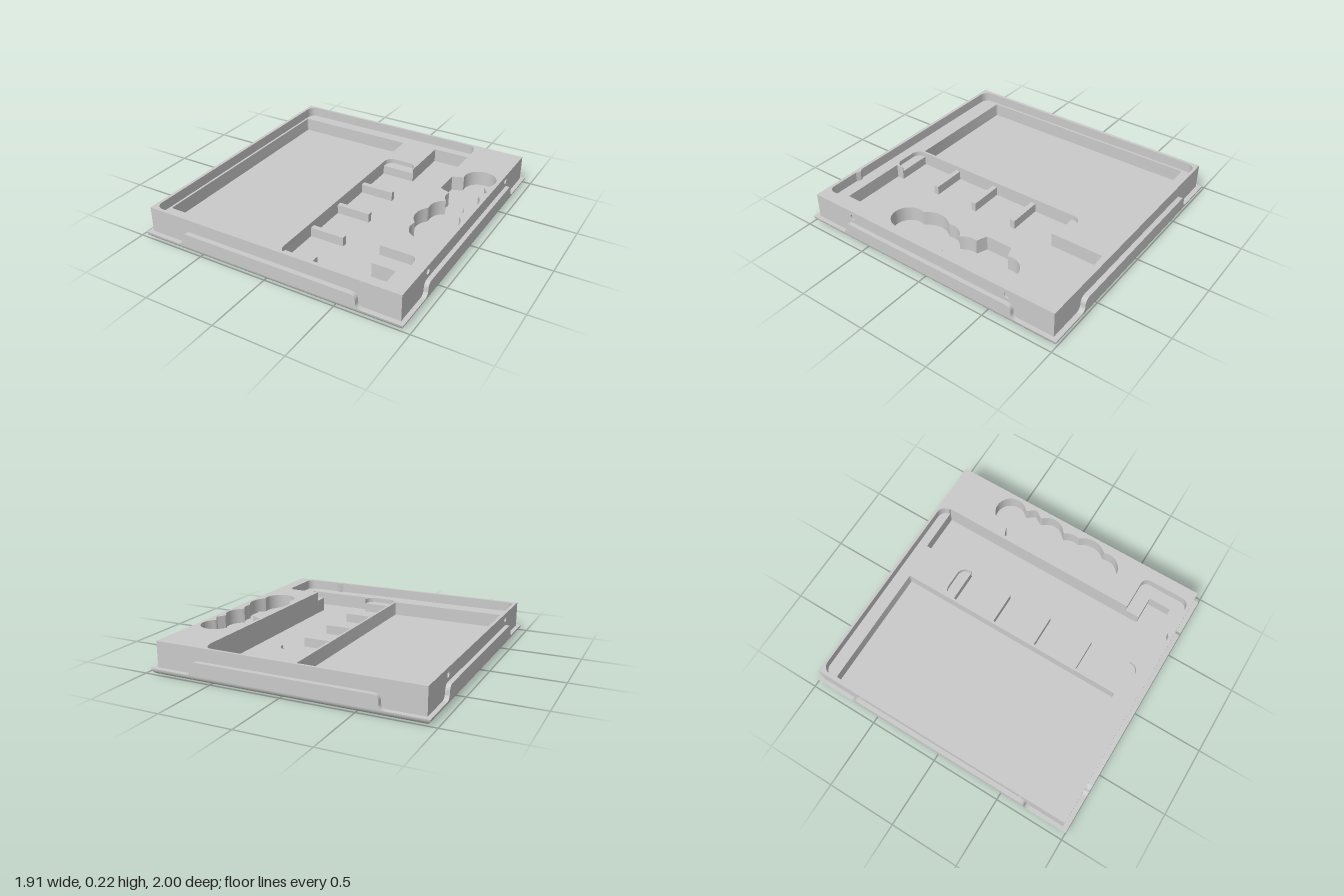
import * as THREE from 'three';
import { toCreasedNormals } from 'three/addons/utils/BufferGeometryUtils.js';

const grey = new THREE.MeshStandardMaterial({ color: 0xcacaca });
grey.name = 'grey';

const HX = 0.955, HZ = 1, R = 0.04;          // tray half sizes and fold radius
const IX = 0.925, IZ = 0.965, TOP = 0.22;    // insert half sizes and top
const SKIN = 0.012;                          // side plates of the insert

// Closed outline from [x, z, cornerRadius] points, drawn in plan
function outline(points, Type = THREE.Path) {
  const path = new Type();
  const n = points.length;
  const at = (i) => new THREE.Vector2(points[(i + n) % n][0], -points[(i + n) % n][1]);
  for (let i = 0; i < n; i++) {
    const p = at(i), r = points[i][2] || 0;
    const a = p.clone().add(at(i - 1).sub(p).setLength(r));
    const b = p.clone().add(at(i + 1).sub(p).setLength(r));
    if (i === 0) path.moveTo(a.x, a.y);
    else path.lineTo(a.x, a.y);
    if (r) {
      const k = 0.552;
      const c1 = a.clone().lerp(p, k), c2 = b.clone().lerp(p, k);
      path.bezierCurveTo(c1.x, c1.y, c2.x, c2.y, b.x, b.y);
    }
  }
  path.closePath();
  return path;
}

const rect = (x0, x1, z0, z1, r = 0) => [[x0, z0, r], [x1, z0, r], [x1, z1, r], [x0, z1, r]];

function extrude(shape, depth) {
  return toCreasedNormals(
    new THREE.ExtrudeGeometry(shape, { depth, bevelEnabled: false, curveSegments: 10 }), 0.5);
}

// Pocket made of overlapping circles: its sides are the widest circle at each z
function clusterPoints() {
  const circles = [[0.788, -0.49, 0.112], [0.788, -0.18, 0.115], [0.754, 0.004, 0.113],
    [0.752, 0.143, 0.149], [0.752, 0.294, 0.112]];
  const tabs = [
    { side: -1, pts: [[0.677, -0.455], [0.604, -0.43], [0.604, -0.236], [0.687, -0.211]] },
    { side: 1, pts: [[0.857, -0.395], [0.899, -0.338], [0.857, -0.27]] },
  ];
  const edge = (z, side) => {
    let x = -Infinity;
    for (const [cx, cz, r] of circles) {
      const d = r * r - (z - cz) ** 2;
      if (d >= 0) x = Math.max(x, side * cx + Math.sqrt(d));
    }
    for (const t of tabs) {
      if (t.side !== side) continue;
      for (let i = 0; i + 1 < t.pts.length; i++) {
        const [xa, za] = t.pts[i], [xb, zb] = t.pts[i + 1];
        if (z >= za && z <= zb) x = Math.max(x, side * (xa + (xb - xa) * (z - za) / (zb - za)));
      }
    }
    return side * x;
  };
  const right = [], left = [], n = 110;
  for (let i = 0; i <= n; i++) {
    const z = -0.098 - 0.5035 * Math.cos(Math.PI * i / n);
    right.push([edge(z, 1), z]);
    left.unshift([edge(z, -1), z]);
  }
  return [...right, ...left];
}

// One fold of the tray's rounded lower edge, facing +z
function foldGeometry(halfLength, distance) {
  const pos = [], index = [], n = 8;
  for (let i = 0; i <= n; i++) {
    const t = (i / n) * Math.PI / 2;
    const inset = R * (1 - Math.sin(t)), y = R * (1 - Math.cos(t));
    pos.push(inset - halfLength, y, distance - inset, halfLength - inset, y, distance - inset);
    if (i < n) {
      const a = 2 * i;
      index.push(a, a + 1, a + 3, a, a + 3, a + 2);
    }
  }
  const g = new THREE.BufferGeometry();
  g.setAttribute('position', new THREE.Float32BufferAttribute(pos, 3));
  g.setIndex(index);
  g.computeVertexNormals();
  return g;
}

// Upright flap with S-curved ends, facing +z
function flapGeometry(w, distance, thickness) {
  const s = new THREE.Shape();
  s.moveTo(-w - 0.05, R - 0.002);
  s.lineTo(w + 0.05, R - 0.002);
  s.quadraticCurveTo(w, R, w, 0.08);
  s.quadraticCurveTo(w, 0.13, w - 0.045, 0.13);
  s.lineTo(-w + 0.045, 0.13);
  s.quadraticCurveTo(-w, 0.13, -w, 0.08);
  s.quadraticCurveTo(-w, R, -w - 0.05, R - 0.002);
  return extrude(s, thickness).translate(0, 0, distance - thickness);
}

export function createModel() {
  const model = new THREE.Group();
  model.name = 'tray with insert';
  const add = (name, geometry, parent) => {
    const mesh = new THREE.Mesh(geometry, grey);
    mesh.name = name;
    parent.add(mesh);
    return mesh;
  };

  // Tray: flat bottom, four folds, four flaps resting against the insert
  const tray = new THREE.Group();
  tray.name = 'tray';
  model.add(tray);
  add('trayBottom', new THREE.PlaneGeometry(2 * (HX - R), 2 * (HZ - R)).rotateX(Math.PI / 2), tray);
  add('trayLedge', new THREE.PlaneGeometry(2 * HX, 2 * HZ).rotateX(-Math.PI / 2).translate(0, R, 0), tray);
  ['front', 'left', 'back', 'right'].forEach((side, i) => {
    const [length, distance, w, gap] = i % 2 ? [HZ, HX, 0.68, HX - IX] : [HX, HZ, 0.645, HZ - IZ];
    add(side + 'Fold', foldGeometry(length, distance), tray).rotation.y = i * Math.PI / 2;
    add(side + 'Flap', flapGeometry(w, distance, gap), tray).rotation.y = i * Math.PI / 2;
  });

  // Insert: stacked layers, each with its own pocket outlines
  const insert = new THREE.Group();
  insert.name = 'insert';
  model.add(insert);
  const bigPocket = rect(-0.886, 0.005, -0.857, 0.815, 0.01);
  const cluster = clusterPoints();
  const strip = [[0.265, -0.883], [0.58, -0.883], [0.58, 0.692], [0.747, 0.692], [0.747, 0.854], [0.265, 0.854]];
  const deepStrip = [[0.022, -0.502], [0.265, -0.502], ...strip, [0.265, 0.8], [0.022, 0.8]];
  const notchedStrip = [[0.022, -0.577, 0.06], [0.26, -0.577, 0.06], [0.26, -0.502], [0.265, -0.502],
    ...strip, [0.265, 0.8], [0.26, 0.8], [0.26, 0.87, 0.06], [0.022, 0.87, 0.06]];
  const shelf = [[-0.902, -0.947, 0.06], [0.57, -0.947, 0.06], [0.57, -0.883], [0.58, -0.883], [0.58, 0.59],
    [0.837, 0.59, 0.05], [0.837, 0.942, 0.05], [0.585, 0.942], [0.555, 0.924], [0.525, 0.942],
    [-0.902, 0.942, 0.06]];
  const layers = [
    ['insertFloor', 0.03, 0.05, []],
    ['lowerLayer', 0.05, 0.115, [bigPocket, deepStrip]],
    ['middleLayer', 0.115, 0.15, [bigPocket, notchedStrip, cluster]],
    ['upperLayer', 0.15, TOP, [shelf, cluster]],
  ];
  for (const [name, y0, y1, holes] of layers) {
    // counter-clockwise border, so pocket walls face into the pockets
    const s = outline(rect(SKIN - IX, IX - SKIN, -IZ, IZ).reverse(), THREE.Shape);
    s.holes = holes.map((h) => outline(h));
    add(name, extrude(s, y1 - y0).rotateX(-Math.PI / 2).translate(0, y0, 0), insert);
  }

  // Low dividers between the small compartments
  for (const z of [-0.188, 0.145, 0.482]) {
    add('divider', new THREE.BoxGeometry(0.244, 0.065, 0.036).translate(0.143, 0.0825, z), insert);
  }

  // Side plates with two round holes each
  const plate = new THREE.Shape();
  plate.moveTo(-IZ, 0.03).lineTo(IZ, 0.03).lineTo(IZ, TOP).lineTo(-IZ, TOP).closePath();
  for (const z of [-0.63, 0.63]) {
    plate.holes.push(new THREE.Path().absarc(z, 0.175, 0.02, 0, Math.PI * 2, true));
  }
  for (const x of [IX - SKIN, -IX]) {
    add('sidePlate', extrude(plate, SKIN).rotateY(Math.PI / 2).translate(x, 0, 0), insert);
  }
  return model;
}
